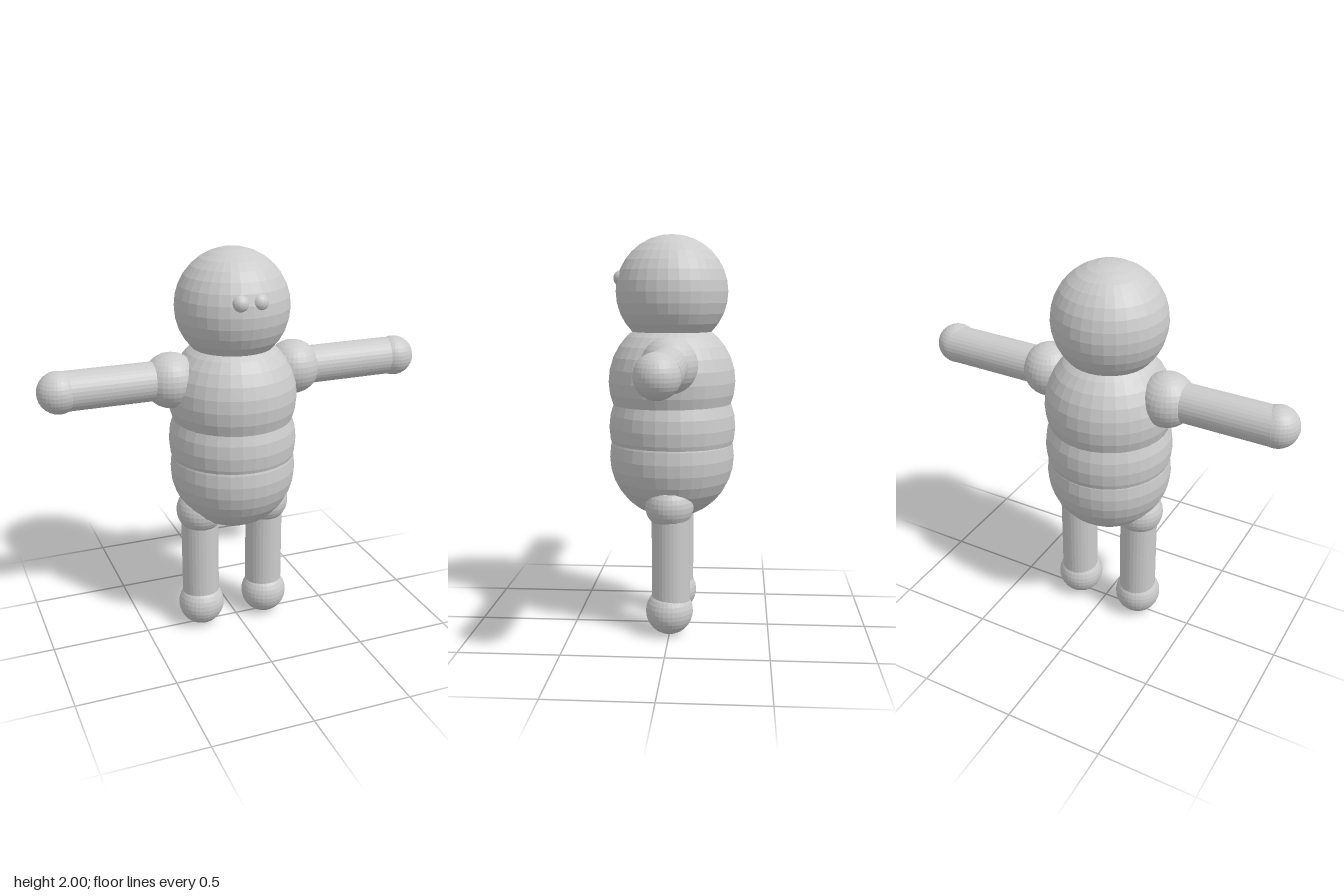
import * as THREE from 'three';

export function createModel() {
  const model = new THREE.Group();
  model.name = 'roundFigure';
  const material = new THREE.MeshStandardMaterial({ color: 0xcccccc, flatShading: true });

  function add(name, geometry, x, y, z = 0) {
    const mesh = new THREE.Mesh(geometry, material);
    mesh.name = name;
    mesh.position.set(x, y, z);
    model.add(mesh);
    return mesh;
  }
  const ball = (name, r, x, y, z) => add(name, new THREE.SphereGeometry(r, 32, 16), x, y, z);
  const rod = (name, r, length, x, y, z) => add(name, new THREE.CylinderGeometry(r, r, length, 32), x, y, z);

  const midX = -0.02; // the body sits slightly off the centre of the arm span

  // Head and eyes
  ball('head', 0.282, midX, 1.718);
  ball('rightEye', 0.042, -0.074, 1.783, 0.247);
  ball('leftEye', 0.042, 0.021, 1.783, 0.247);

  // Torso of three overlapping balls
  ball('belly', 0.317, midX, 0.887, 0);
  ball('waist', 0.321, midX, 1.04, -0.002);
  ball('chest', 0.321, midX, 1.27, 0);

  // Arms: shoulder ball, straight arm, ball hand
  const arms = [
    { side: 'left', shoulderX: 0.31, handX: 0.882, y: 1.374 },
    { side: 'right', shoulderX: -0.335, handX: -0.885, y: 1.378 },
  ];
  for (const { side, shoulderX, handX, y } of arms) {
    ball(side + 'Shoulder', 0.137, shoulderX, 1.373, -0.01);
    const length = Math.abs(handX - shoulderX);
    rod(side + 'Arm', 0.096, length, (shoulderX + handX) / 2, y, -0.008).rotation.z = Math.PI / 2;
    ball(side + 'Hand', 0.102, handX, y, 0);
  }

  // Legs: hip ball, straight leg, ball foot
  for (const [side, x] of [['left', 0.159], ['right', -0.198]]) {
    ball(side + 'Hip', 0.122, x, 0.665);
    rod(side + 'Leg', 0.096, 0.54, x, 0.395, -0.007);
    ball(side + 'Foot', 0.119, x, 0.121);
  }

  return model;
}
